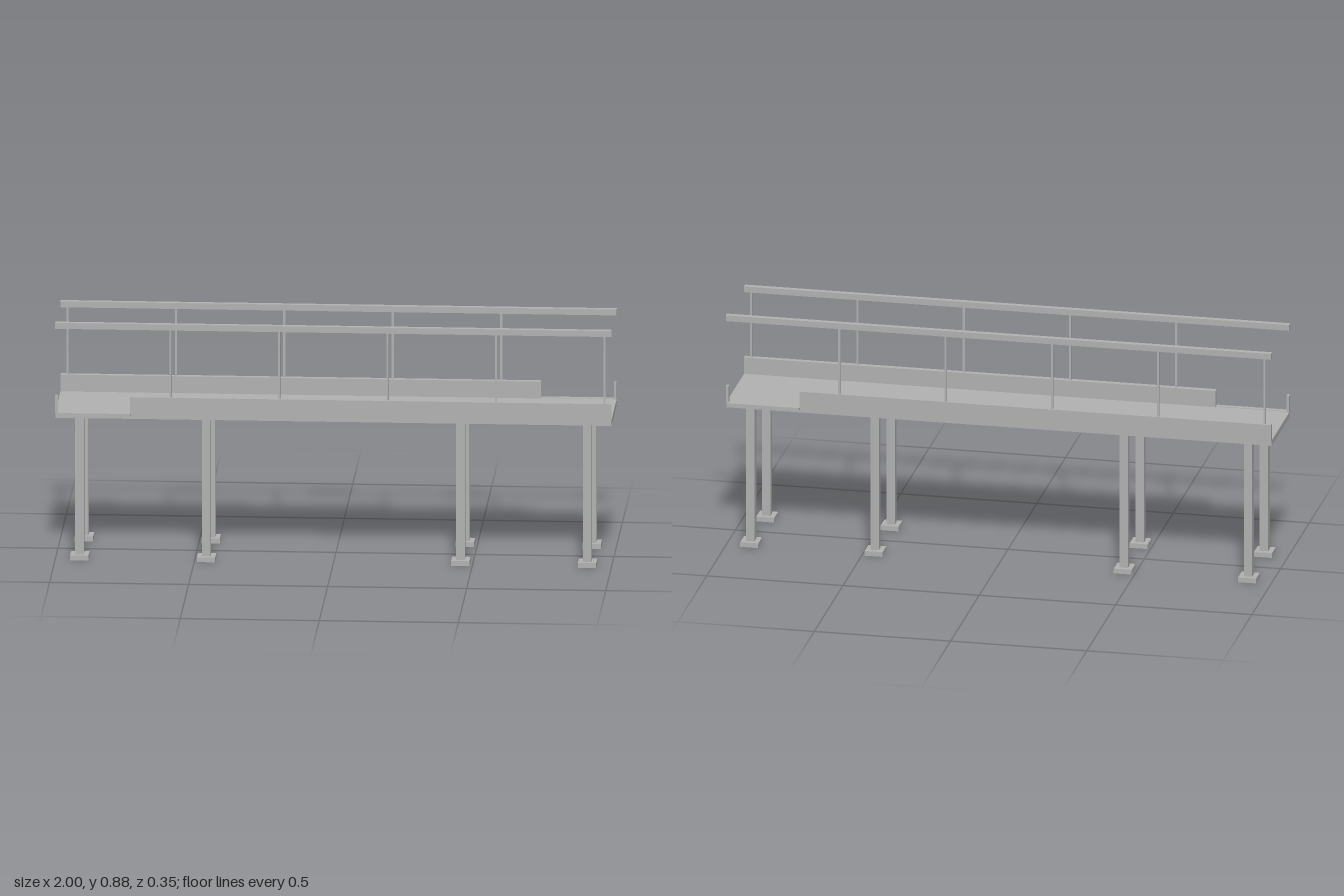
import * as THREE from 'three';

export function createModel() {
  const grey = new THREE.MeshStandardMaterial({ color: 0xb2b2b2 });
  const model = new THREE.Group();

  // Box given by its min and max on each axis
  function box(parent, name, [x0, x1], [y0, y1], [z0, z1]) {
    const mesh = new THREE.Mesh(new THREE.BoxGeometry(x1 - x0, y1 - y0, z1 - z0), grey);
    mesh.position.set((x0 + x1) / 2, (y0 + y1) / 2, (z0 + z1) / 2);
    mesh.name = name;
    parent.add(mesh);
  }

  // Walkway deck
  box(model, 'deck', [-1, 1], [0.523, 0.543], [-0.157, 0.157]);

  // One side; the other is the same turned half way round
  function createSide() {
    const side = new THREE.Group();

    // Kerb with a side opening near one end and a short end piece
    for (const [name, span] of [['kerb', [-0.73, 1]], ['kerbEnd', [-1, -0.99]]]) {
      box(side, name, span, [0.543, 0.6], [0.15, 0.166]);
      box(side, name + 'Cap', span, [0.6, 0.606], [0.148, 0.168]);
    }
    // Sill at the opening
    box(side, 'openingSill', [-0.99, -0.73], [0.535, 0.545], [0.157, 0.174]);

    // Handrail and its posts, none in the opening
    box(side, 'handrail', [-1, 1], [0.855, 0.877], [0.148, 0.168]);
    for (let i = 1; i < 6; i++) {
      const x = -0.975 + i * 0.39;
      box(side, 'railPost', [x - 0.004, x + 0.004], [0.606, 0.855], [0.154, 0.162]);
    }

    // Columns on square foot pads
    for (const x of [-0.913, -0.457, 0.457, 0.913]) {
      box(side, 'column', [x - 0.0155, x + 0.0155], [0.018, 0.523], [0.1235, 0.1545]);
      box(side, 'footPad', [x - 0.033, x + 0.033], [0, 0.018], [0.106, 0.172]);
    }
    return side;
  }

  const front = createSide();
  front.name = 'frontSide';
  const back = createSide();
  back.name = 'backSide';
  back.rotation.y = Math.PI;
  model.add(front, back);
  return model;
}
